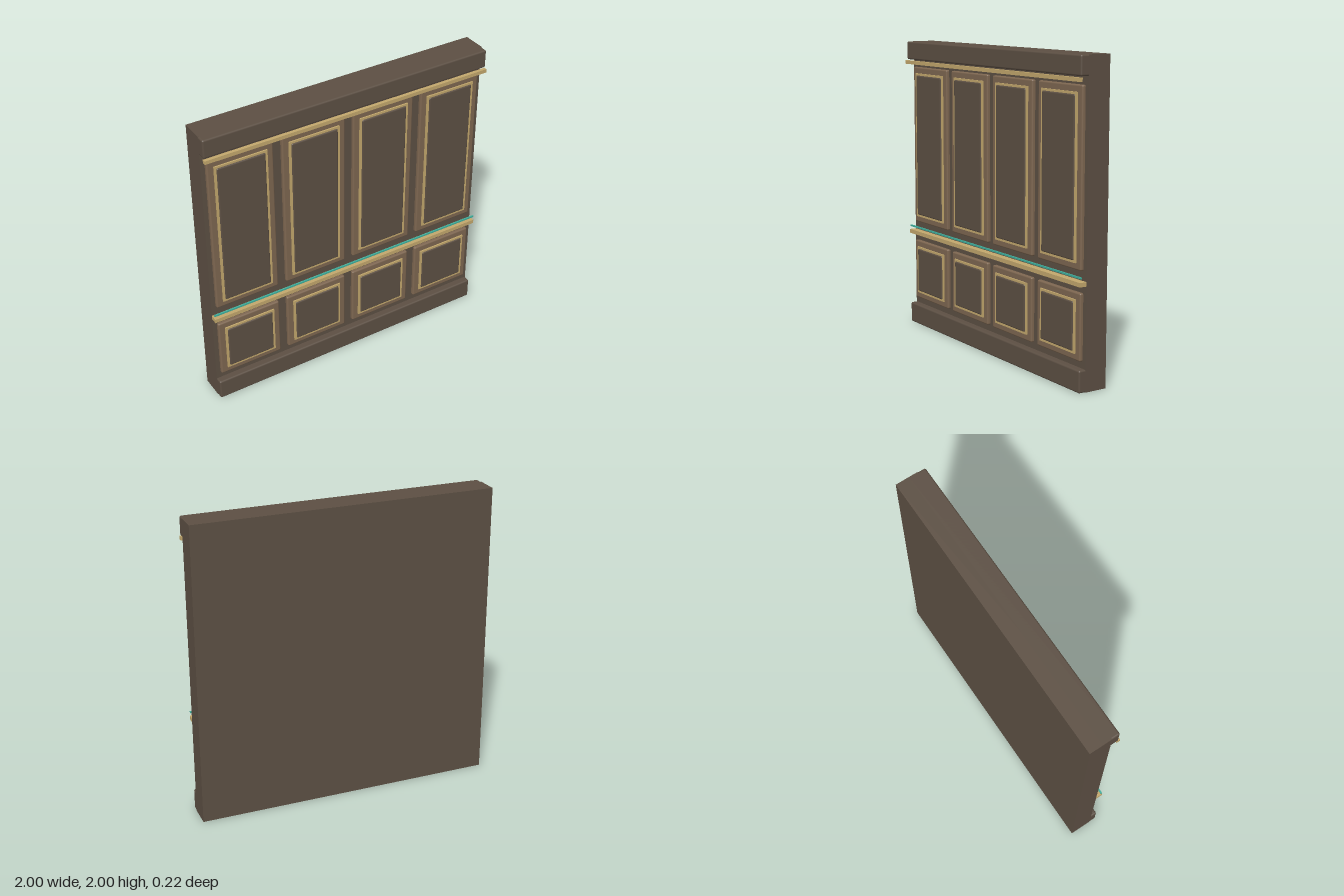
import * as THREE from 'three';
import { RoundedBoxGeometry } from 'three/addons/geometries/RoundedBoxGeometry.js';

const material = (name, color) => {
  const m = new THREE.MeshStandardMaterial({ color });
  m.name = name;
  return m;
};

export function createModel() {
  const group = new THREE.Group();
  const wood = material('darkWood', 0x5c4f43);
  const trim = material('lightWood', 0x7d6650);
  const gold = material('gold', 0xc2a76c);
  const teal = material('teal', 0x3fae9c);

  // Box given by its limits, with edges rounded when r > 0
  const block = (parent, name, mat, [x0, x1], [y0, y1], [z0, z1], r = 0) => {
    const size = [x1 - x0, y1 - y0, z1 - z0];
    const geometry = r ? new RoundedBoxGeometry(...size, 3, r) : new THREE.BoxGeometry(...size);
    const mesh = new THREE.Mesh(geometry, mat);
    mesh.position.set((x0 + x1) / 2, (y0 + y1) / 2, (z0 + z1) / 2);
    mesh.name = name;
    parent.add(mesh);
  };
  const full = [-1, 1];

  // Wall slab, skirting and cornice
  block(group, 'wall', wood, full, [0, 2], [-0.11, 0.042]);
  block(group, 'skirting', wood, full, [0, 0.14], [-0.03, 0.089], 0.011);
  block(group, 'cornice', wood, full, [1.877, 2], [-0.03, 0.098], 0.011);

  // Long horizontal trims
  block(group, 'corniceTrim', gold, full, [1.846, 1.87], [0.087, 0.11]);
  block(group, 'chairRail', gold, full, [0.647, 0.674], [0.042, 0.09]);
  block(group, 'accentStrip', teal, full, [0.695, 0.706], [0.077, 0.087]);

  // Raised panel: wood surround, gold bead of four bars, field
  const addPanel = (name, cx, y0, y1) => {
    const panel = new THREE.Group();
    panel.name = name;
    const span = (half) => [cx - half, cx + half];
    block(panel, 'surround', trim, span(0.22), [y0, y1], [0.03, 0.064], 0.01);
    const w = 0.177, b = 0.02, g0 = y0 + 0.042, g1 = y1 - 0.042, z = [0.06, 0.073];
    for (const s of [-1, 1]) {
      const edges = [cx + s * w, cx + s * (w - b)].sort((p, q) => p - q);
      block(panel, 'beadSide', gold, edges, [g0, g1], z);
    }
    block(panel, 'beadTop', gold, span(w - b), [g1 - b, g1], z);
    block(panel, 'beadBottom', gold, span(w - b), [g0, g0 + b], z);
    block(panel, 'field', wood, span(0.162), [y0 + 0.056, y1 - 0.056], [0.045, 0.08], 0.009);
    group.add(panel);
  };
  for (let i = 0; i < 4; i++) {
    const cx = -0.75 + i * 0.5;
    addPanel('upperPanel', cx, 0.735, 1.825);
    addPanel('lowerPanel', cx, 0.184, 0.6);
  }
  return group;
}
